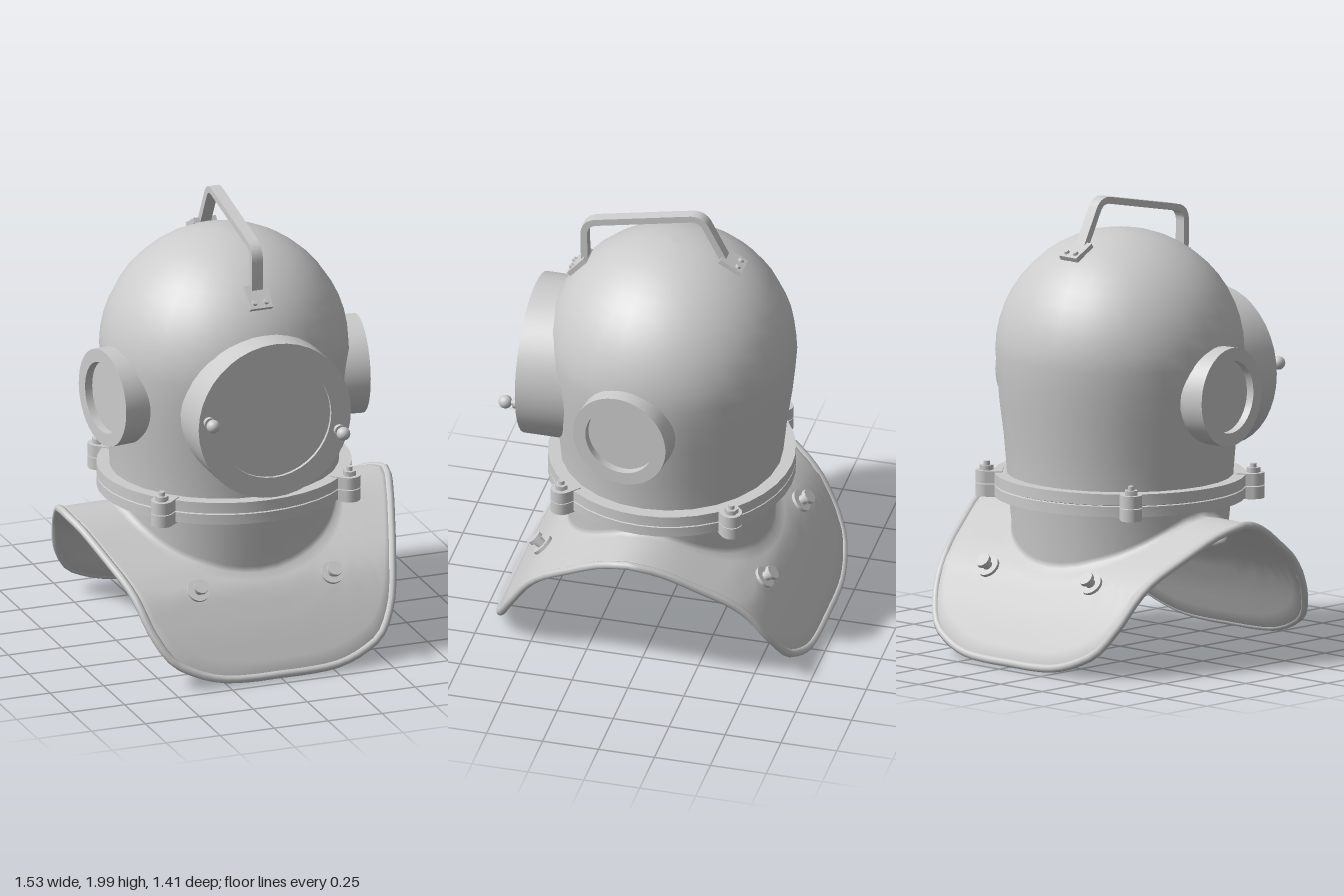
import * as THREE from 'three';
import { toCreasedNormals } from 'three/addons/utils/BufferGeometryUtils.js';

const V2 = (x, y) => new THREE.Vector2(x, y);
const V3 = (x, y, z) => new THREE.Vector3(x, y, z);
const UP = V3(0, 1, 0);

export function createModel() {
  const model = new THREE.Group();
  model.name = 'divingHelmet';
  const mat = new THREE.MeshStandardMaterial({ color: 0xcccccc, side: THREE.DoubleSide });

  const add = (name, geo, parent = model, x = 0, y = 0, z = 0) => {
    const mesh = new THREE.Mesh(geo, mat);
    mesh.name = name;
    mesh.position.set(x, y, z);
    parent.add(mesh);
    return mesh;
  };
  // Group whose local y axis points along dir
  const mount = (name, pos, dir) => {
    const g = new THREE.Group();
    g.name = name;
    g.position.copy(pos);
    g.quaternion.setFromUnitVectors(UP, dir.clone().normalize());
    model.add(g);
    return g;
  };
  const lathe = (pts, n) =>
    toCreasedNormals(new THREE.LatheGeometry(pts.map(p => V2(...p)), n), 0.6);
  const cyl = (r, h, n = 16, r2 = r) => new THREE.CylinderGeometry(r, r2, h, n);

  // Dome: tapered neck below a hemisphere, a little wider than deep at the base
  const profile = [[0.477, 0.7], [0.482, 0.78], [0.497, 0.92], [0.521, 1.08], [0.534, 1.2]];
  for (let i = 0; i <= 12; i++) {
    const a = (i / 12) * Math.PI / 2;
    profile.push([Math.max(0.542 * Math.cos(a), 0), 1.3 + 0.542 * Math.sin(a)]);
  }
  const domeGeo = new THREE.LatheGeometry(profile.map(p => V2(...p)), 28);
  const dp = domeGeo.attributes.position;
  for (let i = 0; i < dp.count; i++) {
    const k = THREE.MathUtils.clamp((1.2 - dp.getY(i)) / 0.5, 0, 1);
    dp.setX(i, dp.getX(i) * (1 + 0.045 * k));
  }
  add('dome', domeGeo);

  // Collar: saddle-shaped sheet, height depends on z only
  const heights = [0.64, 0.62, 0.57, 0.51, 0.45, 0.37, 0.21, 0.018];
  const height = z => {
    const t = Math.min(Math.abs(z) * 10, 6.999), i = Math.floor(t);
    return THREE.MathUtils.lerp(heights[i], heights[i + 1], t - i);
  };
  const sheetNormal = z => {
    const slope = (height(z + 0.05) - height(z - 0.05)) / 0.1;
    return V3(0, 1, -slope).normalize();
  };
  const quarter = [[0.745, 0], [0.71, 0.15], [0.66, 0.3], [0.605, 0.455], [0.558, 0.57],
    [0.49, 0.638], [0.4, 0.668], [0.265, 0.69], [0, 0.695]];
  const outline = [
    ...quarter,
    ...quarter.slice(0, -1).reverse().map(([x, z]) => [-x, z]),
    ...quarter.slice(1).map(([x, z]) => [-x, -z]),
    ...quarter.slice(1, -1).reverse().map(([x, z]) => [x, -z]),
  ].map(([x, z]) => V3(x, 0, z));
  const edge = new THREE.CatmullRomCurve3(outline, true).getPoints(72).slice(0, -1);
  edge.forEach(p => { p.y = height(p.z); });

  const column = p => {
    const a = Math.atan2(p.z / 0.445, p.x / 0.49), c = Math.cos(a), s = Math.sin(a);
    const top = [], under = [];
    for (let j = 0; j <= 8; j++) {
      const t = 1 - j / 8;
      const x = THREE.MathUtils.lerp(0.495 * c, p.x, t), z = THREE.MathUtils.lerp(0.45 * s, p.z, t);
      const q = V3(x, height(z), z);
      top.push(q);
      under.unshift(q.clone().addScaledVector(sheetNormal(z), -0.024));
    }
    const base = height(0.45 * s) + 0.015;
    return [V3(0.478 * c, 0.72, 0.458 * s), V3(0.472 * c, base - 0.02, 0.428 * s), ...under,
      ...top, V3(0.49 * c, base + 0.01, 0.442 * s), V3(0.498 * c, 0.72, 0.474 * s)];
  };
  const cols = edge.map(column), rows = cols[0].length, index = [];
  cols.forEach((_, i) => {
    const n = (i + 1) % cols.length;
    for (let j = 0; j < rows - 1; j++) {
      const a = i * rows + j, b = n * rows + j;
      index.push(a, a + 1, b, b, a + 1, b + 1);
    }
  });
  const collarGeo = new THREE.BufferGeometry().setFromPoints(cols.flat());
  collarGeo.setIndex(index);
  collarGeo.computeVertexNormals();
  add('collar', collarGeo);

  // Rolled rim following the collar edge
  const rimPath = new THREE.CatmullRomCurve3(
    edge.map(p => p.clone().addScaledVector(sheetNormal(p.z), -0.008)), true);
  add('collarRim', new THREE.TubeGeometry(rimPath, 108, 0.018, 8, true));

  // Neck ring: two flanges with a seam between them
  add('neckRing', lathe([[0.46, 0.672], [0.555, 0.672], [0.555, 0.717], [0.546, 0.72],
    [0.555, 0.723], [0.555, 0.772], [0.46, 0.772], [0.46, 0.672]], 40)).scale.z = 0.965;

  // Four clamp lugs with hex nuts around the neck ring
  for (const sx of [1, -1]) for (const sz of [1, -1]) {
    const lug = new THREE.Group();
    lug.name = 'clampLug';
    lug.position.set(0.435 * sx, 0.72, 0.38 * sz);
    lug.rotation.y = Math.atan2(sx * 0.435, sz * 0.38);
    model.add(lug);
    for (const y of [-0.029, 0.029]) {
      add('lugEnd', cyl(0.047, 0.054, 20), lug, 0, y, 0);
      add('lugBlock', new THREE.BoxGeometry(0.094, 0.054, 0.07), lug, 0, y, -0.035);
    }
    add('lugNut', cyl(0.03, 0.022, 6), lug, 0, 0.066, 0);
    add('lugBolt', cyl(0.014, 0.15, 12), lug, 0, 0.02, 0);
  }

  // Windows: deep round frame with a recessed pane
  const addWindow = (name, pos, dir, R, r, depth, recess) => {
    const g = mount(name, pos, dir);
    add('windowFrame', lathe([[R, -depth], [R, 0], [r, 0], [r, -recess - 0.01]], 40), g);
    add('windowPane', new THREE.CircleGeometry(r, 40).rotateX(-Math.PI / 2), g, 0, -recess, 0);
  };
  addWindow('frontWindow', V3(0, 1.165, 0.61), V3(0, 0, 1), 0.353, 0.262, 0.23, 0.015);
  for (const s of [1, -1])
    addWindow('sideWindow', V3(0.594 * s, 1.165, 0.08), V3(0.99 * s, 0, 0.127), 0.216, 0.158, 0.15, 0.035);

  // Ball-headed knobs on the front window frame
  for (const [x, y] of [[-0.307, 1.2], [0.296, 1.085]]) {
    const g = mount('windowKnob', V3(x, y, 0.61), V3(0, 0, 1));
    add('knobBase', cyl(0.024, 0.02), g, 0, 0.01, 0);
    add('knobStem', cyl(0.012, 0.04), g, 0, 0.03, 0);
    add('knobBall', new THREE.SphereGeometry(0.03, 16, 12), g, 0, 0.057, 0);
  }

  // Collar studs
  for (const x of [0.31, -0.31]) for (const s of [1, -1]) {
    const z = 0.492 * s;
    const g = mount('collarStud', V3(x, height(z), z), V3(0, 0.68, 0.73 * s));
    add('studWasher', cyl(0.05, 0.014, 20), g, 0, 0.006, 0);
    add('studStem', cyl(0.022, 0.04), g, 0, 0.025, 0);
    add('studHead', cyl(0.033, 0.018), g, 0, 0.05, 0);
  }

  // Handle: bent flat bar, drawn in the z-y plane and extruded across x
  const path = new THREE.Path();
  path.moveTo(0.385, 1.655);
  path.lineTo(0.388, 1.82);
  path.quadraticCurveTo(0.39, 1.882, 0.33, 1.893);
  path.lineTo(-0.08, 1.978);
  path.quadraticCurveTo(-0.134, 1.992, -0.158, 1.945);
  path.lineTo(-0.243, 1.78);
  const mid = path.getPoints(8);
  const side = d => mid.map((p, i) => {
    const t = mid[Math.min(i + 1, mid.length - 1)].clone().sub(mid[Math.max(i - 1, 0)]).normalize();
    return V2(p.x - t.y * d, p.y + t.x * d);
  });
  const bar = new THREE.Shape([...side(0.015), ...side(-0.015).reverse()]);
  const barGeo = new THREE.ExtrudeGeometry(bar, { depth: 0.05, bevelEnabled: false });
  barGeo.translate(0, 0, -0.025).rotateY(-Math.PI / 2);
  add('handleBar', toCreasedNormals(barGeo, 0.6));

  // Riveted feet of the handle, lying on the dome
  for (const [z, y] of [[0.412, 1.665], [-0.272, 1.776]]) {
    const g = mount('handleFoot', V3(0, y, z), V3(0, y - 1.3, z));
    add('footPlate', new THREE.BoxGeometry(0.104, 0.022, 0.11), g);
    for (const x of [0.026, -0.026])
      add('footRivet', cyl(0.01, 0.012, 12, 0.013), g, x, 0.016, 0.028 * Math.sign(z));
  }
  return model;
}
